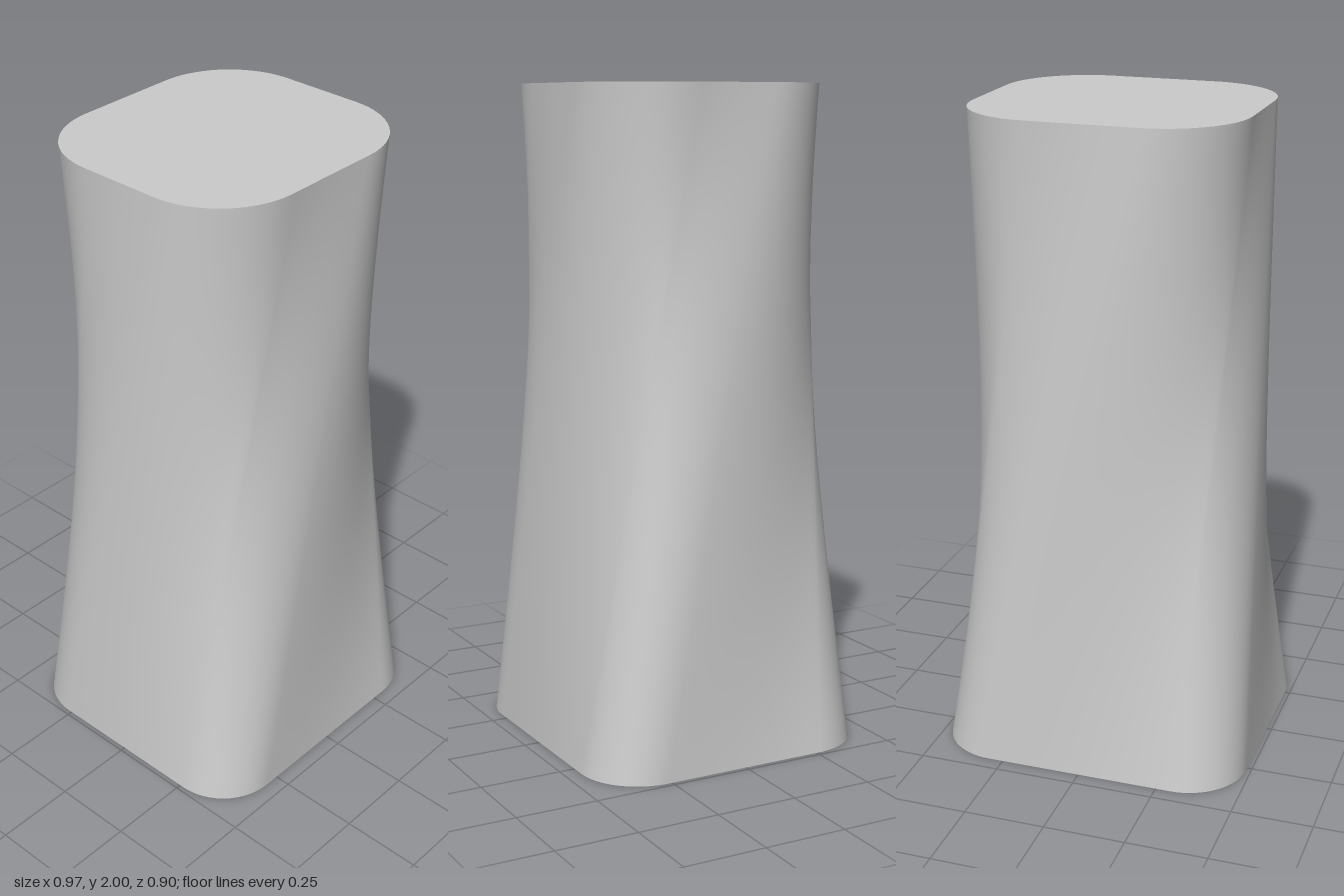
import * as THREE from 'three';

const HEIGHT = 2;
const PER_SEGMENT = 16; // steps along each of the 8 outline segments
const RINGS = 32;
const AROUND = 8 * PER_SEGMENT;
const BASE = { hx: 0.484, hz: 0.451, r: 0.187 };
const TOP = { hx: 0.419, hz: 0.386, r: 0.255 };

// Point on a rounded rectangle; u runs 0..8 through straight, corner, straight, corner ...
function outlinePoint({ hx, hz, r }, u) {
  const seg = Math.floor(u) % 8;
  const t = u - Math.floor(u);
  const ix = hx - r, iz = hz - r;
  const corners = [[-ix, iz], [ix, iz], [ix, -iz], [-ix, -iz]];
  const side = seg >> 1;
  const [ax, az] = corners[side];
  const [bx, bz] = corners[(side + 1) % 4];
  const isCorner = seg % 2 === 1;
  const angle = (side + (isCorner ? t : 0)) * Math.PI / 2;
  const k = isCorner ? 1 : t;
  return new THREE.Vector2(
    ax + (bx - ax) * k + r * Math.sin(angle),
    az + (bz - az) * k + r * Math.cos(angle)
  );
}

const ring = (size, shift) => Array.from({ length: AROUND }, (_, i) =>
  outlinePoint(size, (i / PER_SEGMENT + shift) % 8));

// Ruled wall: straight lines join each base point to the top point one segment further on
function twistedWall(lower, upper) {
  const positions = [], index = [];
  for (let j = 0; j <= RINGS; j++) {
    for (let i = 0; i < AROUND; i++) {
      const p = lower[i].clone().lerp(upper[i], j / RINGS);
      positions.push(p.x, HEIGHT * j / RINGS, p.y);
    }
  }
  for (let j = 0; j < RINGS; j++) {
    for (let i = 0; i < AROUND; i++) {
      const n = (i + 1) % AROUND;
      const a = j * AROUND + i, b = j * AROUND + n;
      const c = b + AROUND, d = a + AROUND;
      index.push(a, b, c, a, c, d);
    }
  }
  const geometry = new THREE.BufferGeometry();
  geometry.setAttribute('position', new THREE.Float32BufferAttribute(positions, 3));
  geometry.setIndex(index);
  geometry.computeVertexNormals();
  return geometry;
}

// Flat end face, facing up (dir = 1) or down (dir = -1)
function endFace(points, y, dir) {
  const shape = new THREE.Shape(points.map(p => new THREE.Vector2(p.x, -dir * p.y)));
  return new THREE.ShapeGeometry(shape).rotateX(-dir * Math.PI / 2).translate(0, y, 0);
}

export function createModel() {
  const group = new THREE.Group();
  group.name = 'twistedColumn';
  const material = new THREE.MeshStandardMaterial({ color: 0xcccccc });
  const add = (name, geometry) => {
    const mesh = new THREE.Mesh(geometry, material);
    mesh.name = name;
    group.add(mesh);
  };

  const lower = ring(BASE, 0);
  const upper = ring(TOP, 1);
  add('wall', twistedWall(lower, upper));
  add('topFace', endFace(upper, HEIGHT, 1));
  add('bottomFace', endFace(lower, 0, -1));
  return group;
}
